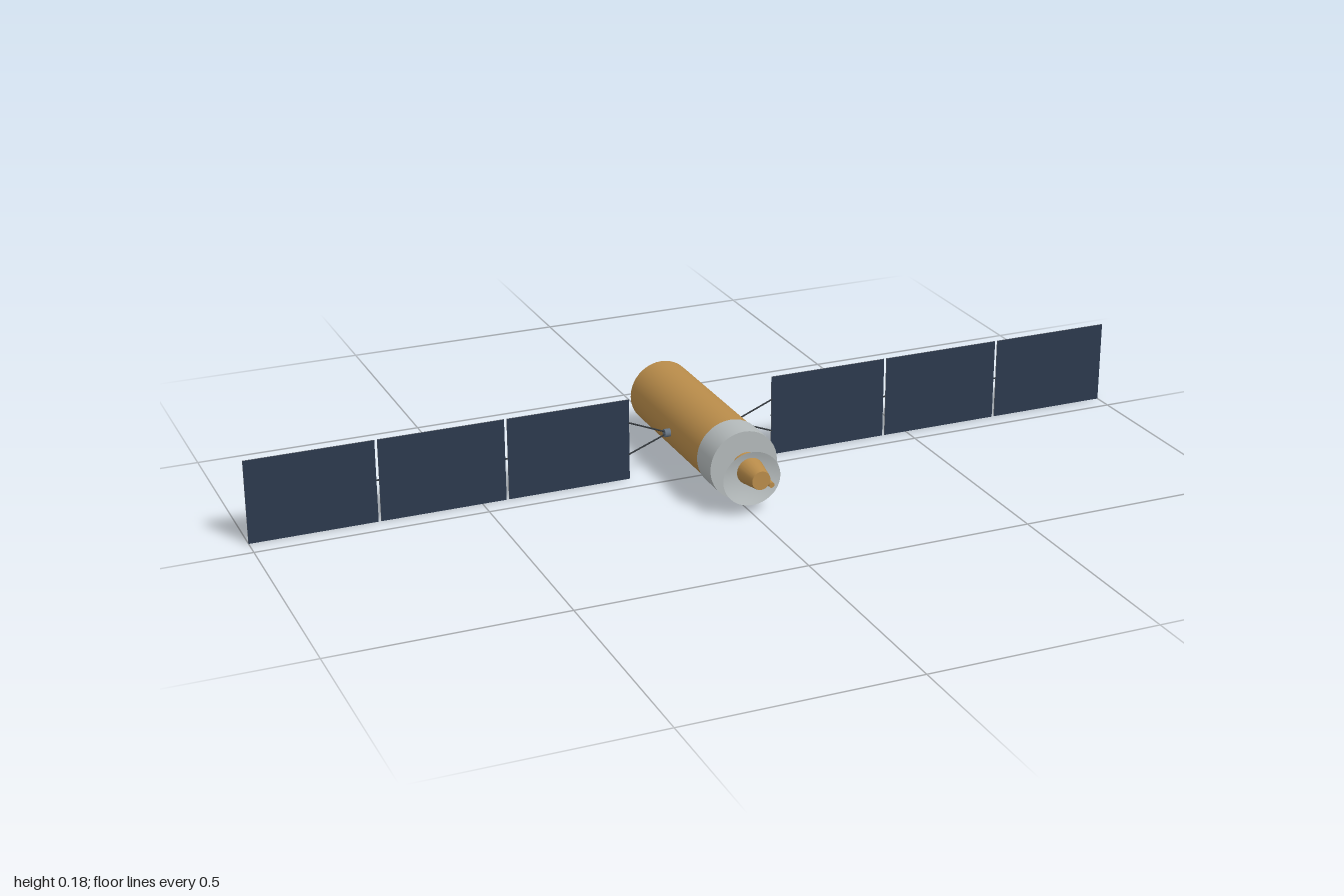
import * as THREE from 'three';

export function createModel() {
  const root = new THREE.Group();
  root.name = 'satellite';
  const CY = 0.092, PZ = -0.045;

  const mat = (name, color, side = THREE.FrontSide) => {
    const m = new THREE.MeshStandardMaterial({ color, side });
    m.name = name;
    return m;
  };
  const foil = mat('goldFoil', 0xb98c4a);
  const silver = mat('silver', 0xb4babb, THREE.DoubleSide);
  const cells = mat('solarCells', 0x2c3a4e);
  const backing = mat('panelBacking', 0x6e7278);
  const dark = mat('darkMetal', 0x33383c);
  const hubMat = mat('hubMetal', 0x687582);

  const add = (name, geo, material, x = 0, y = 0, z = 0) => {
    const m = new THREE.Mesh(geo, material);
    m.name = name;
    m.position.set(x, y, z);
    root.add(m);
    return m;
  };
  // Cylinder along z, with separate front and back radii
  const barrel = (name, rFront, rBack, z0, z1, material, x = 0, y = CY, sides = 40) =>
    add(name, new THREE.CylinderGeometry(rFront, rBack, z1 - z0, sides).rotateX(Math.PI / 2),
      material, x, y, (z0 + z1) / 2);
  // Thin rod between two points
  const rod = (name, a, b, r = 0.0018) => {
    const p = new THREE.Vector3(...a), q = new THREE.Vector3(...b);
    const m = add(name, new THREE.CylinderGeometry(r, r, p.distanceTo(q), 8), dark);
    m.position.copy(p).add(q).multiplyScalar(0.5);
    m.quaternion.setFromUnitVectors(new THREE.Vector3(0, 1, 0), q.sub(p).normalize());
  };

  // Main body and front collar
  barrel('body', 0.0735, 0.0735, -0.27, 0.112, foil);
  barrel('collar', 0.076, 0.076, 0.111, 0.182, silver);

  // Tapered nose instrument, its small side tube and its mounts
  barrel('noseCone', 0.0205, 0.0335, 0.192, 0.27, foil, 0, CY, 24);
  barrel('sideTube', 0.006, 0.007, 0.247, 0.27, foil, 0.024, 0.078, 12);
  rod('noseMount', [0, 0.07, 0.2], [0, 0.073, 0.18], 0.003);
  rod('tubeStrut', [0.022, 0.075, 0.25], [0.03, 0.047, 0.18], 0.002);

  // Shallow tilted dish, hollow side forward
  const profile = [];
  for (let i = 0; i <= 8; i++) {
    const t = i / 8;
    profile.push(new THREE.Vector2(0.058 * t, 0.012 * (t * t - 1)));
  }
  const dishGeo = new THREE.LatheGeometry(profile, 36).rotateX(Math.PI / 2).scale(1.12, 1, 1);
  const dish = add('dish', dishGeo, silver, 0, 0.078, 0.2235);
  dish.rotation.x = -0.08;

  // Solar wings
  for (const s of [1, -1]) {
    add('wingHub', new THREE.CylinderGeometry(0.009, 0.009, 0.018, 16).rotateZ(Math.PI / 2),
      hubMat, s * 0.077, CY, PZ);
    for (const y of [0.13, 0.056]) rod('wingStrut', [s * 0.076, CY, PZ], [s * 0.169, y, PZ]);

    for (let i = 0; i < 3; i++) {
      const w = 0.2737, x = s * (0.167 + w / 2 + i * 0.2797);
      // Box faces: +x, -x, +y, -y, +z (cells), -z
      add('solarPanel', new THREE.BoxGeometry(w, 0.183, 0.0024),
        [backing, backing, backing, backing, cells, backing], x, 0.0915, PZ);
      // Thin seams across the back
      for (const y of [0.046, 0.137])
        add('panelSeam', new THREE.BoxGeometry(w, 0.0008, 0.0004), dark, x, y, PZ - 0.0013);
    }
    // Stiffening rail behind the panels
    add('wingRail', new THREE.BoxGeometry(0.833, 0.003, 0.002), dark, s * 0.5835, CY, PZ - 0.002);
  }
  return root;
}
